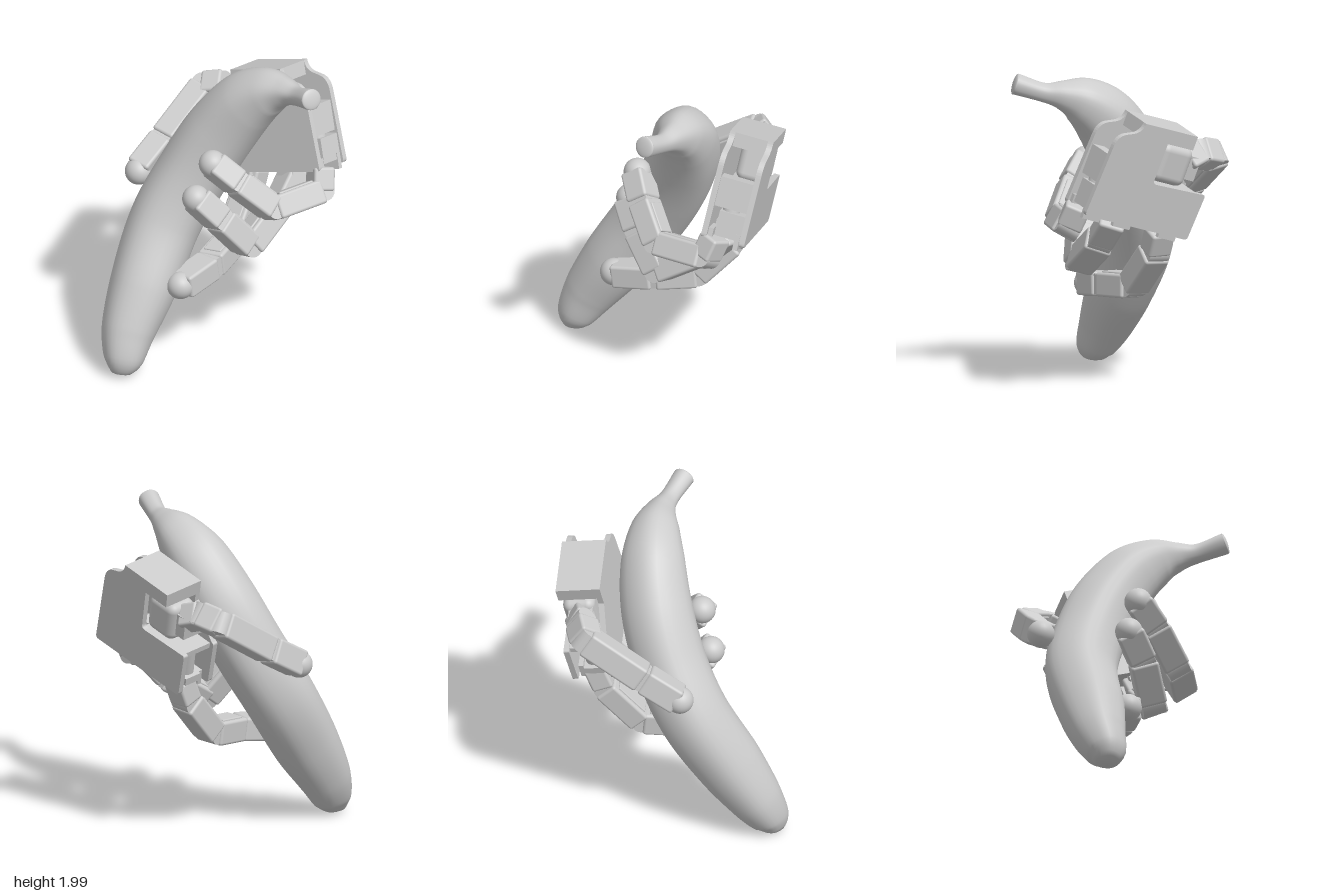
import * as THREE from 'three';
import { RoundedBoxGeometry } from 'three/addons/geometries/RoundedBoxGeometry.js';
import { mergeVertices } from 'three/addons/utils/BufferGeometryUtils.js';

const mat = new THREE.MeshStandardMaterial({ color: 0xcccccc });
const V = (p) => new THREE.Vector3(...p);

function add(parent, name, geometry, position = [0, 0, 0]) {
  const m = new THREE.Mesh(geometry, mat);
  m.name = name;
  m.position.set(...position);
  parent.add(m);
  return m;
}

// Tapered curved fruit: a unit tube whose rings are scaled along the path
function makeBanana() {
  const group = new THREE.Group();
  group.name = 'banana';
  // x, y, z, radius
  const path = [
    [-0.69, 0.003, 0.30, 0], [-0.69, 0.02, 0.299, 0.065], [-0.675, 0.09, 0.287, 0.12],
    [-0.625, 0.25, 0.215, 0.166], [-0.50, 0.50, 0.108, 0.207], [-0.32, 0.85, -0.03, 0.222],
    [-0.14, 1.15, -0.05, 0.224], [0.03, 1.45, 0.0, 0.22], [0.175, 1.69, 0.11, 0.195],
    [0.28, 1.81, 0.235, 0.147], [0.345, 1.853, 0.345, 0.092], [0.385, 1.873, 0.45, 0.06],
    [0.43, 1.93, 0.62, 0.066],
  ];
  const curve = new THREE.CatmullRomCurve3(path.map((p) => V(p.slice(0, 3))));
  const radii = new THREE.CatmullRomCurve3(path.map((p) => V([p[3], 0, 0])), false, 'catmullrom');
  const rings = 120, sides = 30;
  const geo = new THREE.TubeGeometry(curve, rings, 1, sides);
  const pos = geo.attributes.position, v = new THREE.Vector3();
  for (let i = 0; i <= rings; i++) {
    const c = curve.getPointAt(i / rings);
    const r = Math.max(0, radii.getPoint(curve.getUtoTmapping(i / rings)).x);
    for (let j = 0; j <= sides; j++) {
      const k = i * (sides + 1) + j;
      const ridge = 1 + 0.02 * Math.cos((5 * j * 2 * Math.PI) / sides);
      v.fromBufferAttribute(pos, k).sub(c).multiplyScalar(r * ridge).add(c);
      pos.setXYZ(k, v.x, v.y, v.z);
    }
  }
  geo.deleteAttribute('normal');
  geo.deleteAttribute('uv');
  const smooth = mergeVertices(geo);
  smooth.computeVertexNormals();
  add(group, 'bananaBody', smooth);
  // slightly domed cut at the end of the stem
  const cap = add(group, 'stemEnd', new THREE.SphereGeometry(0.066, sides, 16), path[12].slice(0, 3));
  cap.quaternion.setFromUnitVectors(new THREE.Vector3(0, 0, 1), curve.getTangentAt(1));
  cap.scale.z = 0.25;
  return group;
}

// Chain of rounded links through joint points, ending in a domed tip
function makeFinger(name, points, width, thick) {
  const group = new THREE.Group();
  group.name = name;
  const p = points.map(V), last = p.length - 1;
  const normal = new THREE.Vector3().crossVectors(
    p[last - 2].clone().sub(p[0]), p[last].clone().sub(p[last - 2])).normalize();
  for (let i = 0; i < last; i++) {
    const dir = p[i + 1].clone().sub(p[i]);
    const len = dir.length();
    dir.normalize();
    const side = normal.clone().addScaledVector(dir, -normal.dot(dir)).normalize();
    const up = new THREE.Vector3().crossVectors(dir, side);
    const link = new THREE.Group();
    link.name = 'link' + (i + 1);
    link.position.copy(p[i]);
    link.quaternion.setFromRotationMatrix(new THREE.Matrix4().makeBasis(side, up, dir));
    group.add(link);
    const s = i === 0 ? 0.92 : 1;
    add(link, 'linkBody', new RoundedBoxGeometry(width * s, thick * s, len * 0.95, 3, 0.018), [0, 0, len / 2]);
    // hinge barrel
    if (i > 0) {
      const hinge = add(link, 'hinge', new THREE.CylinderGeometry(thick * 0.44, thick * 0.44, width * 0.82, 20));
      hinge.rotation.z = Math.PI / 2;
    }
    // thin back cover on the long links
    if (i > 0 && i < last - 1) {
      add(link, 'backCover', new RoundedBoxGeometry(width * 0.7, 0.02, len * 0.7, 2, 0.008), [0, -thick / 2, len / 2]);
    }
  }
  add(group, 'fingerTip', new THREE.SphereGeometry(0.085, 28, 20), points[last]);
  return group;
}

// Palm housing in its own frame: x across the hand, -y towards the fingers, z towards the palm side
function makePalm() {
  const palm = new THREE.Group();
  palm.name = 'palm';
  const across = V([0.608, 0.304, 0.734]), inward = V([-0.79, 0.16, 0.593]);
  const upward = new THREE.Vector3().crossVectors(inward, across);
  palm.quaternion.setFromRotationMatrix(new THREE.Matrix4().makeBasis(across, upward, inward));
  palm.position.set(0.40, 1.625, -0.51);

  const outline = (notched) => {
    const s = new THREE.Shape();
    s.moveTo(0, 0);
    s.lineTo(0.39, 0);
    s.quadraticCurveTo(0.395, -0.06, 0.45, -0.08);
    s.lineTo(0.50, -0.098);
    s.quadraticCurveTo(0.555, -0.12, 0.558, -0.20);
    s.lineTo(0.578, -0.625);
    s.quadraticCurveTo(0.578, -0.65, 0.555, -0.65);
    s.lineTo(-0.16, -0.645);
    s.quadraticCurveTo(-0.187, -0.645, -0.187, -0.62);
    s.lineTo(-0.20, -0.36);
    s.quadraticCurveTo(-0.20, -0.345, -0.185, -0.345);
    if (notched) {
      s.lineTo(0.16, -0.355);
      s.quadraticCurveTo(0.19, -0.355, 0.19, -0.33);
      s.lineTo(0.19, -0.09);
      s.lineTo(0, -0.09);
    } else {
      s.lineTo(0, -0.14);
    }
    s.closePath();
    return s;
  };
  const plate = (name, shape, z) => add(palm, name,
    new THREE.ExtrudeGeometry(shape, { depth: 0.035, bevelEnabled: false, curveSegments: 8 }), [0, 0, z]);
  plate('backPlate', outline(true), 0);
  plate('palmPlate', outline(false), 0.243);

  // x0, x1, s0, s1, z0, z1 with s measured towards the fingers
  const block = (name, x0, x1, s0, s1, z0, z1) => add(palm, name,
    new THREE.BoxGeometry(x1 - x0, s1 - s0, z1 - z0), [(x0 + x1) / 2, -(s0 + s1) / 2, (z0 + z1) / 2]);
  block('wristBlock', 0, 0.39, 0, 0.09, 0.002, 0.276);
  block('sideBrace', 0.46, 0.55, 0.25, 0.44, 0.03, 0.25);
  block('sideCover', 0.47, 0.56, 0.46, 0.62, 0.03, 0.20);
  block('notchFloor', -0.17, 0.2, 0.355, 0.39, 0.03, 0.25);
  block('knuckleBar', -0.16, 0.55, 0.57, 0.62, 0.08, 0.20);
  for (const x of [-0.06, 0.28, 0.51]) {
    for (const z of [0.055, 0.225]) block('knuckleBracket', x - 0.07, x + 0.055, 0.58, 0.68, z - 0.015, z + 0.015);
    add(palm, 'fingerMotor', new THREE.CylinderGeometry(0.055, 0.055, 0.2, 20), [x - 0.02, -0.48, 0.14]);
  }
  // thumb motor sitting in the notch, with its output arm
  add(palm, 'thumbMotor', new RoundedBoxGeometry(0.23, 0.25, 0.2, 4, 0.05), [0.07, -0.22, 0.12]);
  block('thumbArm', -0.12, 0.0, 0.14, 0.29, 0.06, 0.21);
  return palm;
}

export function createModel() {
  const model = new THREE.Group();
  model.name = 'robotHandWithBanana';
  const hand = new THREE.Group();
  hand.name = 'robotHand';
  hand.add(
    makePalm(),
    makeFinger('outerFinger', [[0.605, 1.22, 0.20], [0.585, 1.08, 0.265], [0.25, 1.06, 0.37],
      [0.04, 1.245, 0.32], [-0.10, 1.37, 0.26]], 0.17, 0.15),
    makeFinger('middleFinger', [[0.51, 1.12, 0.0], [0.38, 0.96, 0.10], [0.12, 0.77, 0.265],
      [-0.06, 0.98, 0.275], [-0.20, 1.13, 0.24]], 0.175, 0.155),
    makeFinger('innerFinger', [[0.31, 1.02, -0.26], [0.26, 0.87, -0.22], [0.10, 0.625, -0.06],
      [-0.08, 0.60, 0.14], [-0.31, 0.56, 0.28]], 0.17, 0.15),
    makeFinger('thumb', [[0.29, 1.45, -0.41], [0.19, 1.485, -0.49], [0.075, 1.45, -0.565],
      [-0.24, 1.225, -0.37], [-0.43, 1.10, -0.25]], 0.165, 0.15),
  );
  model.add(makeBanana(), hand);
  return model;
}
